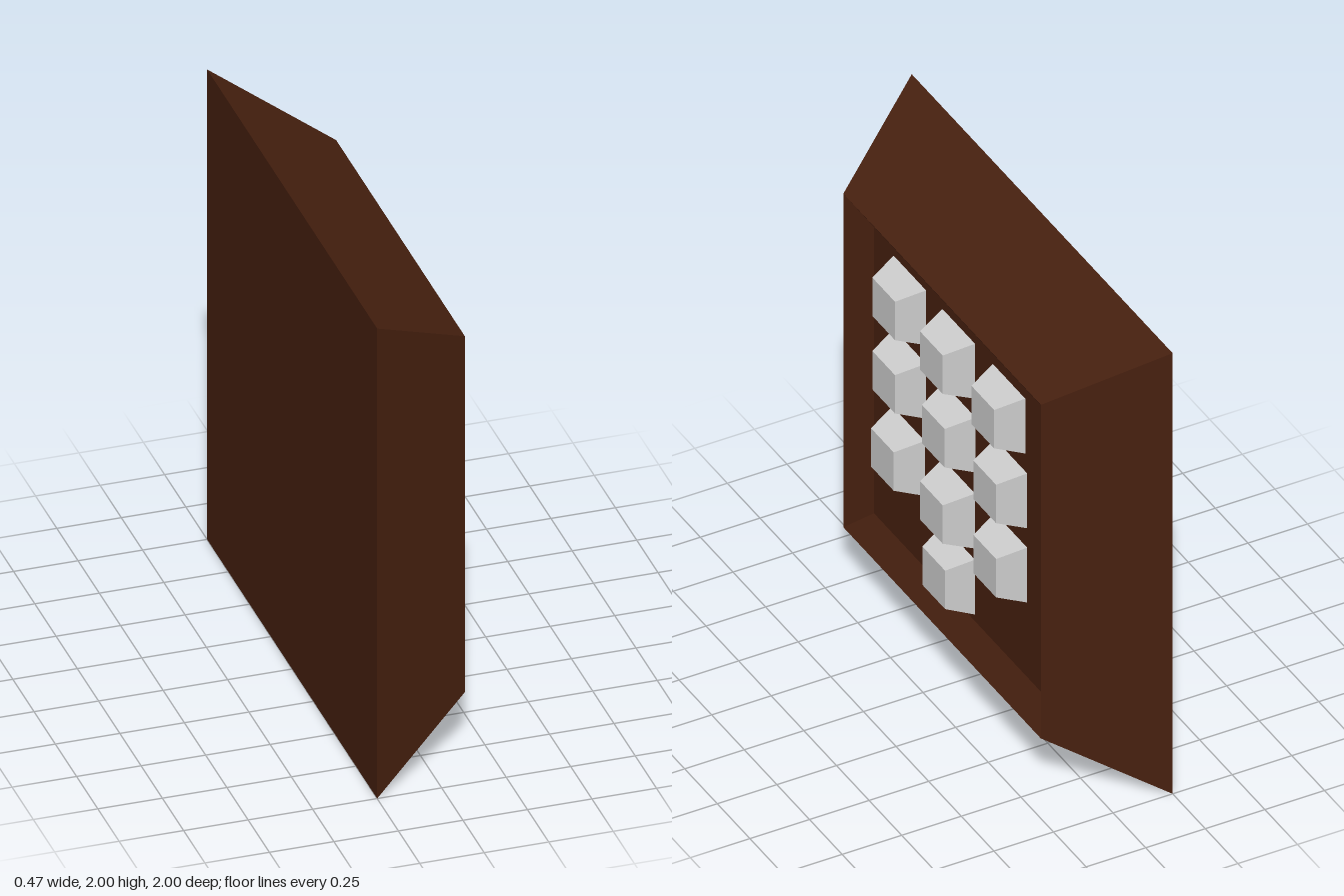
import * as THREE from 'three';

// Square solid turned from a profile of [half width, x] pairs, facing +x
function squareSolid(profile) {
  const points = profile.map(([half, x]) => new THREE.Vector2(half * Math.SQRT2, x));
  const geometry = new THREE.LatheGeometry(points, 4, Math.PI / 4)
    .rotateZ(-Math.PI / 2)
    .toNonIndexed();
  geometry.computeVertexNormals();
  return geometry;
}

export function createModel() {
  const model = new THREE.Group();
  model.name = 'keypad';

  const brown = new THREE.MeshStandardMaterial({ color: 0x47200f, flatShading: true });
  const grey = new THREE.MeshStandardMaterial({ color: 0xcccccc, flatShading: true });

  // Housing: flat back, sloping sides, narrow rim and a shallow recess
  const housing = new THREE.Mesh(
    squareSolid([[0, -0.25], [1, -0.25], [0.757, 0.17], [0.65, 0.1], [0, 0.1]]),
    brown
  );
  housing.name = 'housing';
  housing.position.y = 1;
  model.add(housing);

  // Keys: tapered blocks, slightly out of line with each other: [z, y, front x]
  const keys = [
    [0.375, 1.49, 0.21], [0, 1.485, 0.215], [-0.385, 1.48, 0.21],
    [0.375, 1.157, 0.21], [-0.005, 1.153, 0.21], [-0.4, 1.15, 0.21],
    [0.385, 0.8, 0.21], [0, 0.805, 0.215], [-0.4, 0.813, 0.21],
    [0, 0.505, 0.205],
  ];
  const keyGroup = new THREE.Group();
  keyGroup.name = 'keys';
  keys.forEach(([z, y, front], i) => {
    const key = new THREE.Mesh(
      squareSolid([[0, 0.09], [0.128, 0.09], [0.087, front], [0, front]]),
      grey
    );
    key.name = `key${i + 1}`;
    key.position.set(0, y, z);
    keyGroup.add(key);
  });
  model.add(keyGroup);

  return model;
}
